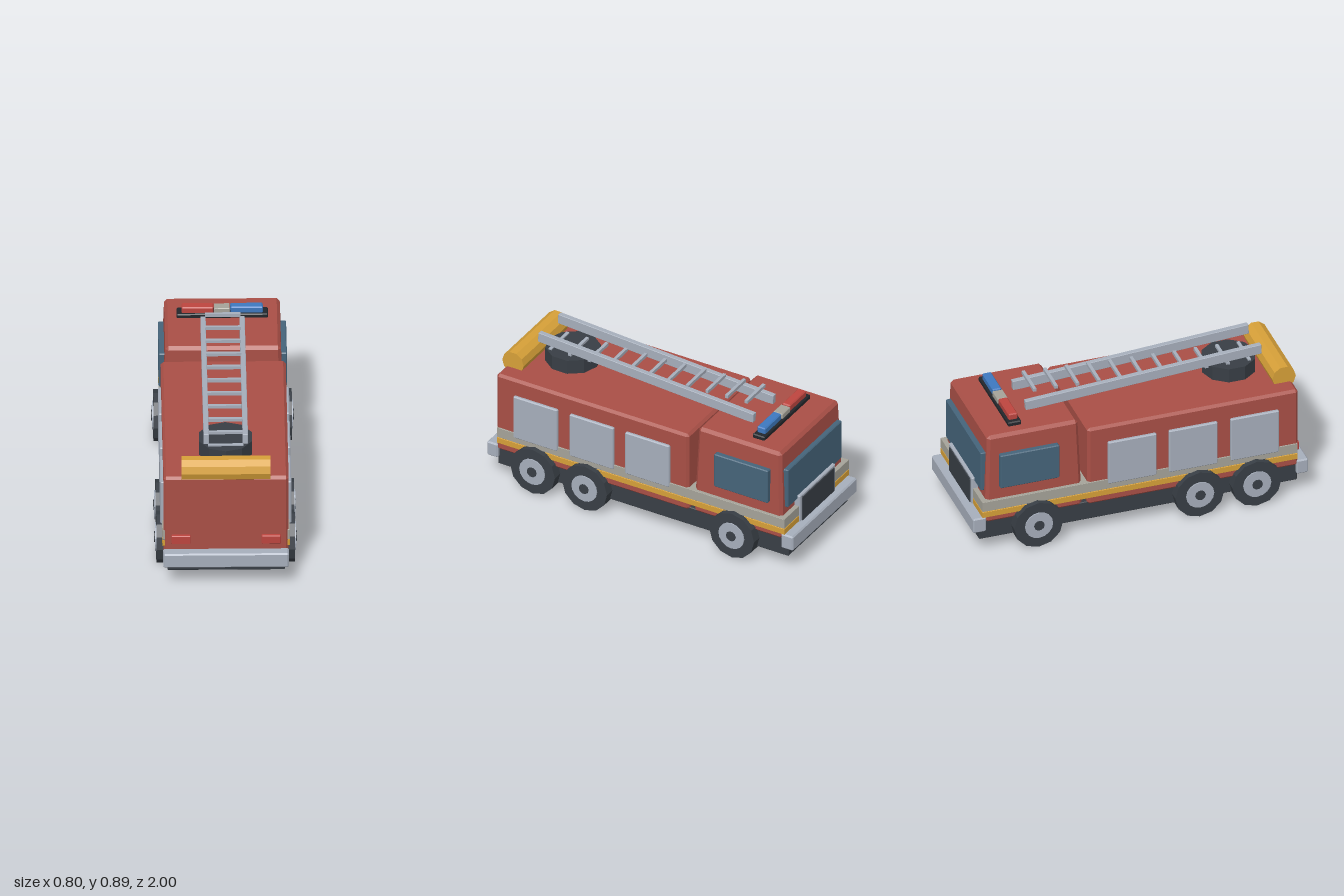
import * as THREE from 'three';
import { ConvexGeometry } from 'three/addons/geometries/ConvexGeometry.js';

export function createModel() {
  const truck = new THREE.Group();
  truck.name = 'fireTruck';

  const paint = (name, color) => {
    const m = new THREE.MeshStandardMaterial({ color, flatShading: true });
    m.name = name;
    return m;
  };
  const red = paint('bodyRed', 0xa94f46);
  const gold = paint('gold', 0xd6a038);
  const silver = paint('silver', 0xa6aebb);
  const cream = paint('warmGrey', 0xa5a399);
  const dark = paint('charcoal', 0x383e45);
  const black = paint('black', 0x22262b);
  const glass = paint('glass', 0x45647a);
  const lampRed = paint('lampRed', 0xbd453f);
  const lampBlue = paint('lampBlue', 0x3d78bf);

  const add = (name, geometry, material, x = 0, y = 0, z = 0, parent = truck) => {
    const mesh = new THREE.Mesh(geometry, material);
    mesh.name = name;
    mesh.position.set(x, y, z);
    parent.add(mesh);
    return mesh;
  };

  // Box with chamfered edges; taper narrows the top by fixed amounts in x and z
  const chamferBox = (w, h, d, b, taperX = 0, taperZ = 0) => {
    const points = [];
    for (const sx of [-1, 1]) for (const sy of [-1, 1]) for (const sz of [-1, 1]) {
      for (let face = 0; face < 3; face++) {
        const p = new THREE.Vector3(
          sx * (w / 2 - (face === 0 ? 0 : b)),
          sy * (h / 2 - (face === 1 ? 0 : b)),
          sz * (d / 2 - (face === 2 ? 0 : b)));
        const t = p.y / h + 0.5;
        p.x *= 1 - t * taperX * 2 / w;
        p.z *= 1 - t * taperZ * 2 / d;
        points.push(p);
      }
    }
    return new ConvexGeometry(points);
  };

  // Places a chamfered box by its limits on each axis
  const block = (name, material, [x0, x1], [y0, y1], [z0, z1], b = 0.005, tx = 0, tz = 0) =>
    add(name, chamferBox(x1 - x0, y1 - y0, z1 - z0, b, tx, tz), material,
      (x0 + x1) / 2, (y0 + y1) / 2, (z0 + z1) / 2);

  // Same block on both sides of the truck
  const pair = (name, material, [x0, x1], y, z, b) => {
    block(name + 'Left', material, [x0, x1], y, z, b);
    block(name + 'Right', material, [-x1, -x0], y, z, b);
  };

  // Chassis, body and cab
  block('chassis', dark, [-0.33, 0.33], [0.083, 0.2], [-0.955, 0.94], 0.004);
  block('rearBody', red, [-0.352, 0.352], [0.19, 0.695], [-0.315, 0.94], 0.015);
  block('cab', red, [-0.345, 0.345], [0.19, 0.75], [-0.922, -0.342], 0.018, 0.02, 0.02);

  // Wrap-around stripes
  block('upperStripe', cream, [-0.359, 0.359], [0.28, 0.342], [-0.945, 0.932], 0.001);
  block('lowerStripe', gold, [-0.359, 0.359], [0.24, 0.276], [-0.945, 0.932], 0.001);

  // Side lockers
  for (const z of [0.677, 0.31, -0.053]) {
    pair('locker', silver, [0.34, 0.369], [0.315, 0.592], [z - 0.144, z + 0.144], 0.006);
  }

  // Windows and grille
  pair('sideWindow', glass, [0.32, 0.361], [0.415, 0.632], [-0.838, -0.486], 0.005);
  block('windscreen', glass, [-0.3, 0.3], [0.385, 0.635], [-0.935, -0.89], 0.005);
  block('grilleFrame', silver, [-0.197, 0.197], [0.2, 0.41], [-0.953, -0.9], 0.005);
  block('grille', dark, [-0.178, 0.178], [0.215, 0.395], [-0.958, -0.91], 0.003);

  // Bumpers and tail lamps
  block('frontBumper', silver, [-0.358, 0.358], [0.145, 0.24], [-1, -0.92], 0.008);
  block('rearBumper', silver, [-0.354, 0.354], [0.133, 0.224], [0.93, 1], 0.008);
  pair('tailLamp', lampRed, [0.2, 0.308], [0.266, 0.319], [0.92, 0.96], 0.004);

  // Wheels: tyre, hub and cap
  const tyre = new THREE.CylinderGeometry(0.146, 0.146, 0.1, 12);
  const hub = new THREE.CylinderGeometry(0.083, 0.083, 0.1, 16);
  const cap = new THREE.CylinderGeometry(0.031, 0.031, 0.1, 10);
  for (const g of [tyre, hub, cap]) g.rotateZ(Math.PI / 2);
  for (const side of [-1, 1]) for (const z of [-0.62, 0.34, 0.68]) {
    const wheel = new THREE.Group();
    wheel.name = 'wheel';
    wheel.position.set(side * 0.34, 0.146, z);
    truck.add(wheel);
    add('tyre', tyre, dark, 0, 0, 0, wheel);
    add('hub', hub, silver, side * 0.007, 0, 0, wheel);
    add('hubCap', cap, dark, side * 0.012, 0, 0, wheel);
  }

  // Warning light bar
  block('lightBarBase', black, [-0.257, 0.257], [0.745, 0.775], [-0.755, -0.677], 0.006);
  block('redLamp', lampRed, [-0.23, -0.05], [0.77, 0.812], [-0.743, -0.69], 0.006);
  block('blueLamp', lampBlue, [0.045, 0.228], [0.77, 0.812], [-0.743, -0.69], 0.006);
  block('lightBarCentre', cream, [-0.047, 0.042], [0.77, 0.806], [-0.747, -0.686], 0.004);

  // Turntable and rolled hose
  add('turntable', new THREE.CylinderGeometry(0.157, 0.157, 0.1, 10), dark, 0, 0.732, 0.645);
  const roll = new THREE.CylinderGeometry(0.07, 0.07, 0.5, 10).rotateZ(Math.PI / 2);
  add('hoseRoll', roll, gold, 0, 0.728, 0.89);

  // Sloping ladder with its rungs
  const tilt = Math.atan(0.0605);
  for (const side of [-1, 1]) {
    const rail = add('ladderRail', chamferBox(0.03, 0.06, 1.407, 0.002), silver, side * 0.11, 0.8175, 0.0975);
    rail.rotation.x = -tilt;
  }
  for (let i = 0; i < 11; i++) {
    const z = -0.543 + i * 0.128;
    add('ladderRung', new THREE.BoxGeometry(0.2, 0.019, 0.019), silver, 0, 0.8175 - (z - 0.0975) * 0.0585, z);
  }

  return truck;
}
